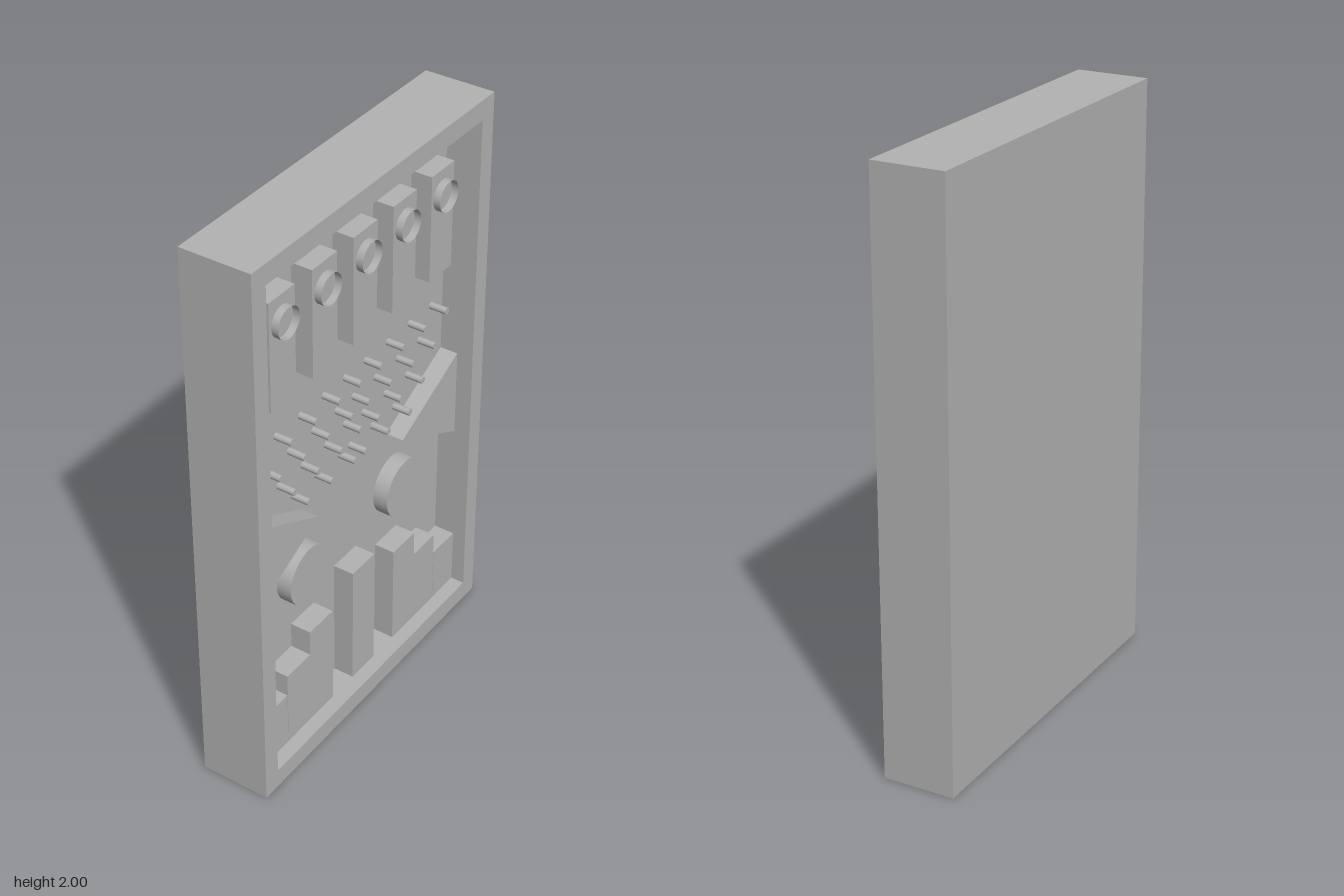
import * as THREE from 'three';

export function createModel() {
  const root = new THREE.Group();
  root.name = 'bagatelleBoard';
  const grey = new THREE.MeshStandardMaterial({ color: 0xb2b2b2 });
  grey.name = 'plain grey';
  const greyOpen = new THREE.MeshStandardMaterial({ color: 0xb2b2b2, side: THREE.DoubleSide });
  greyOpen.name = 'plain grey open';

  // The board is laid out in its own plane (u right, y up) and turned to face +x.
  const board = new THREE.Group();
  board.name = 'board';
  board.rotation.y = Math.PI / 2;
  root.add(board);

  const add = (name, geometry, u = 0, y = 0, d = 0, material = grey) => {
    const mesh = new THREE.Mesh(geometry, material);
    mesh.name = name;
    mesh.position.set(u, y, d);
    board.add(mesh);
    return mesh;
  };
  const outline = (points) => new THREE.Shape(points.map(([u, y]) => new THREE.Vector2(u, y)));
  const slab = (shape, depth) => new THREE.ExtrudeGeometry(shape, { depth, bevelEnabled: false });
  const rect = (u, y0, y1) => [[-u, y0], [u, y0], [u, y1], [-u, y1]];
  const disc = (r, depth, sides, open = false) =>
    new THREE.CylinderGeometry(r, r, depth, sides, 1, open).rotateX(Math.PI / 2).translate(0, 0, depth / 2);

  // Back plate and raised rim
  add('backPlate', new THREE.BoxGeometry(1.26, 2, 0.125), 0, 1, -0.0625);
  const rim = outline(rect(0.63, 0, 2));
  rim.holes.push(outline(rect(0.565, 0.07, 1.93)));
  add('rim', slab(rim, 0.125));

  // Upper bars, each with a short open ring
  for (let i = -2; i <= 2; i++) {
    add('upperBar', new THREE.BoxGeometry(0.127, 0.38, 0.075), i * 0.2125, 1.62, 0.0375);
    add('ring', disc(0.053, 0.025, 32, true), i * 0.2125, 1.72, 0.075, greyOpen);
  }

  // Rows of pins, mirrored about the middle
  const pin = disc(0.012, 0.063, 16);
  const rows = [
    [1.245, [0.115, 0.241, 0.368, 0.495]],
    [1.147, [0.047, 0.173, 0.301, 0.427]],
    [1.05, [0.104, 0.231, 0.358]],
    [0.965, [0.03, 0.157, 0.285]],
  ];
  for (const [y, offsets] of rows)
    for (const u of offsets) for (const side of [-1, 1]) add('pin', pin, side * u, y);
  add('centrePin', pin, 0, 1.245);
  add('centrePin', pin, 0, 1.068);

  // Side wedges, round bumpers and stepped lower blocks
  const bumper = disc(0.107, 0.055, 48);
  for (const s of [-1, 1]) {
    add('sideWedge', slab(outline([[s * 0.565, 1.04], [s * 0.24, 0.88], [s * 0.565, 0.72]]), 0.065));
    add('bumper', bumper, s * 0.273, 0.66);
    add('steppedBlock', slab(outline([
      [s * 0.18, 0.07], [s * 0.435, 0.07], [s * 0.435, 0.355],
      [s * 0.308, 0.355], [s * 0.308, 0.45], [s * 0.18, 0.45],
    ]), 0.075));
    add('cornerBlock', new THREE.BoxGeometry(0.128, 0.205, 0.075), s * 0.501, 0.1725, 0.0375);
  }
  add('centreBlock', new THREE.BoxGeometry(0.126, 0.455, 0.075), 0, 0.2975, 0.0375);

  return root;
}
